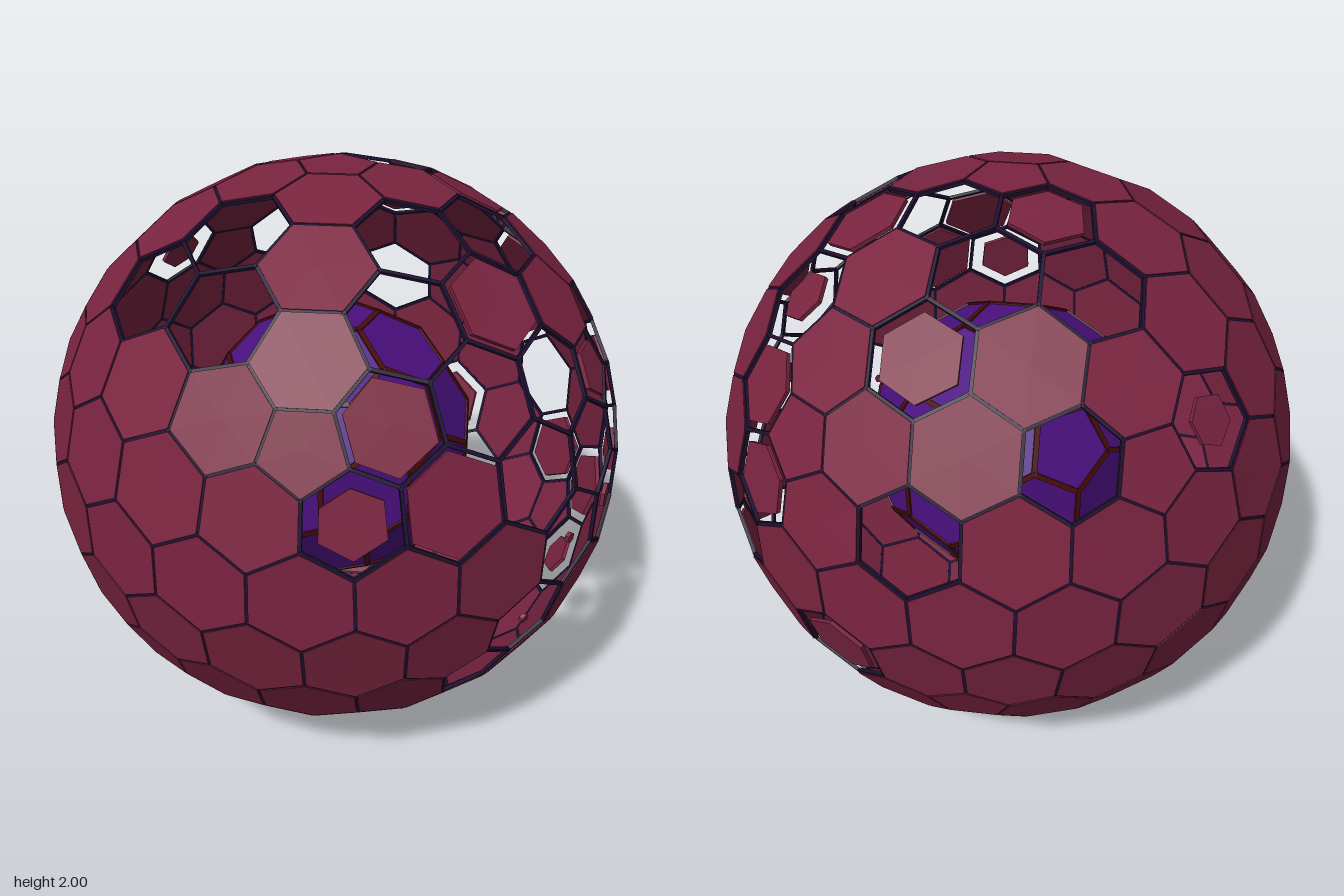
import * as THREE from 'three';
import { mergeGeometries } from 'three/addons/utils/BufferGeometryUtils.js';

const rad = THREE.MathUtils.degToRad;
const dir = (lat, az) => new THREE.Vector3(
  Math.cos(rad(lat)) * Math.cos(rad(az)), Math.sin(rad(lat)), Math.cos(rad(lat)) * Math.sin(rad(az)));
const keyOf = (v) => v.toArray().map((c) => Math.round(c * 1e4) + 0).join();

// Unit sphere of hexagons and 12 pentagons, with a pentagon at each pole
function cellSphere(freq) {
  const lat = rad(0) + THREE.MathUtils.radToDeg(Math.atan(0.5));
  const top = dir(90, 0), bottom = dir(-90, 0), faces = [];
  for (let k = 0; k < 5; k++) {
    const a = dir(lat, 72 * k), b = dir(lat, 72 * k + 72);
    const c = dir(-lat, 72 * k + 36), d = dir(-lat, 72 * k + 108);
    faces.push([top, a, b], [a, c, b], [b, c, d], [bottom, c, d]);
  }
  const cells = new Map();
  for (const [a, b, c] of faces) {
    const point = (i, j) => new THREE.Vector3().addScaledVector(a, freq - i - j)
      .addScaledVector(b, i).addScaledVector(c, j).normalize();
    const addTriangle = (tri) => {
      const mid = tri[0].clone().add(tri[1]).add(tri[2]).normalize();
      for (const p of tri) {
        const key = keyOf(p);
        if (!cells.has(key)) cells.set(key, { dir: p, corners: [] });
        cells.get(key).corners.push(mid);
      }
    };
    for (let i = 0; i < freq; i++) {
      for (let j = 0; j < freq - i; j++) {
        addTriangle([point(i, j), point(i + 1, j), point(i, j + 1)]);
        if (i + j < freq - 1) addTriangle([point(i + 1, j), point(i + 1, j + 1), point(i, j + 1)]);
      }
    }
  }
  // Sort the corners counter-clockwise as seen from outside
  for (const { dir: n, corners } of cells.values()) {
    const u = corners[0].clone().projectOnPlane(n).normalize();
    const v = n.clone().cross(u);
    const angle = (p) => Math.atan2(p.dot(v), p.dot(u) + 0);
    corners.sort((p, q) => angle(p) - angle(q));
  }
  return [...cells.values()];
}

// Thin prisms, one per cell, each shrunk about its centre by its scale
function plateGeometry(cells, radius, thickness) {
  const pos = [];
  const tri = (...points) => points.forEach((p) => pos.push(p.x, p.y, p.z));
  for (const { corners, scale } of cells) {
    if (!scale) continue;
    const mid = new THREE.Vector3();
    corners.forEach((c) => mid.addScaledVector(c, 1 / corners.length));
    const outer = corners.map((c) => mid.clone().lerp(c, scale).multiplyScalar(radius));
    const inner = outer.map((p) => p.clone().multiplyScalar(1 - thickness / radius));
    const outMid = mid.clone().multiplyScalar(radius);
    const inMid = mid.clone().multiplyScalar(radius - thickness);
    outer.forEach((p, i) => {
      const j = (i + 1) % outer.length;
      tri(outMid, p, outer[j]);
      tri(inMid, inner[j], inner[i]);
      tri(p, inner[i], inner[j]);
      tri(p, inner[j], outer[j]);
    });
  }
  const geo = new THREE.BufferGeometry();
  geo.setAttribute('position', new THREE.Float32BufferAttribute(pos, 3));
  geo.computeVertexNormals();
  return geo;
}

// A square bar along every edge between cells
function frameGeometry(cells, radius, width) {
  const bars = new Map();
  for (const { corners } of cells) {
    corners.forEach((p, i) => {
      const a = p.clone().multiplyScalar(radius);
      const b = corners[(i + 1) % corners.length].clone().multiplyScalar(radius);
      const mid = a.clone().lerp(b, 0.5);
      if (bars.has(keyOf(mid))) return;
      const bar = new THREE.BoxGeometry(width, width, a.distanceTo(b) + width * 0.5);
      const o = new THREE.Object3D();
      o.up.copy(mid).normalize();
      o.position.copy(mid);
      o.lookAt(b);
      o.updateMatrix();
      bars.set(keyOf(mid), bar.applyMatrix4(o.matrix));
    });
  }
  return mergeGeometries([...bars.values()]);
}

// Missing (0) and shrunken plates: latitude, then azimuth and scale pairs
const OPENINGS = [
  [75, [[-72, 0], [-144, 0.75]]],
  [60, [[0, 0], [36, 0], [108, 0], [-36, 0.8], [-108, 0], [-144, 0]]],
  [43, [[48, 0], [96, 0], [120, 0], [24, 0.85], [-48, 0.5], [-96, 0.75]]],
  [29, [[0, 0.7], [18, 0], [36, 0], [54, 0.85], [-18, 0], [-54, 0.8], [-126, 0], [-162, 0.5]]],
  [14, [[9, 0], [-9, 0], [27, 0], [45, 0.9], [63, 0.65], [-27, 0.65], [-63, 0.75], [-99, 0]]],
  [0, [[0, 0.25], [18, 0.1], [-18, 0.48], [-54, 0]]],
  [-14, [[27, 0.1], [-27, 0.75], [-45, 0.8], [-81, 0.7]]],
  [-29, [[36, 0], [-18, 0.45], [-72, 0]]],
];

export function createModel() {
  const model = new THREE.Group();
  const add = (name, geometry, color) => {
    const mesh = new THREE.Mesh(geometry, new THREE.MeshStandardMaterial({ color, flatShading: true }));
    mesh.name = name;
    mesh.position.y = 1;
    model.add(mesh);
  };

  // Outer shell
  const shell = cellSphere(4);
  shell.forEach((cell) => { cell.scale = 0.97; });
  for (const [lat, list] of OPENINGS) {
    for (const [az, scale] of list) {
      const d = dir(lat, az);
      shell.reduce((best, c) => (c.dir.dot(d) > best.dir.dot(d) ? c : best)).scale = scale;
    }
  }
  add('shellPlates', plateGeometry(shell, 1.009, 0.014), 0x7a2440);
  add('shellFrame', frameGeometry(shell, 0.999, 0.012), 0x1e1030);

  // Inner core
  const core = cellSphere(2);
  core.forEach((cell) => { cell.scale = 0.97; });
  add('corePanels', plateGeometry(core, 0.5, 0.02), 0x4b1080);
  add('coreFrame', frameGeometry(core, 0.495, 0.018), 0x4a0c0c);

  return model;
}
